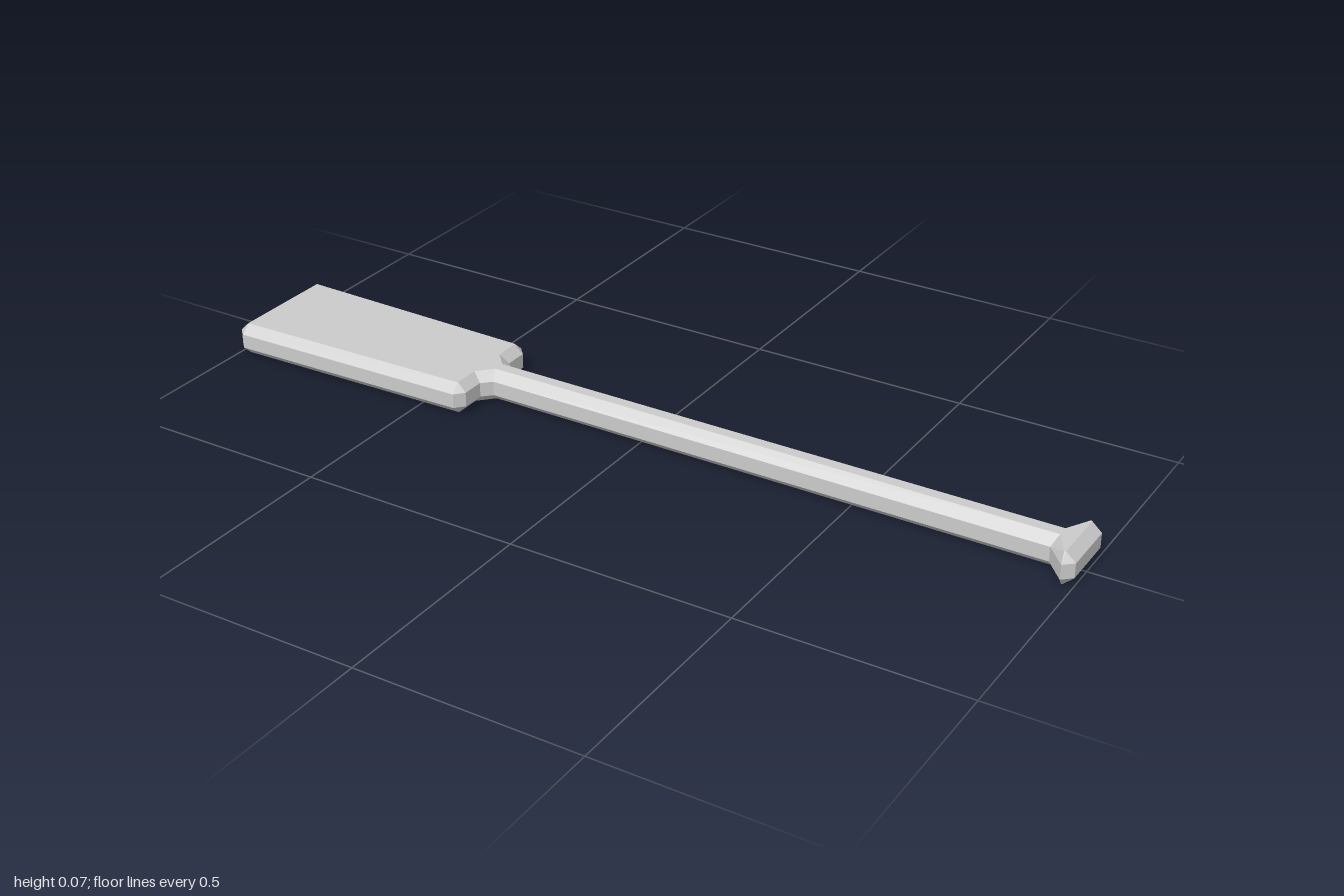
import * as THREE from 'three';

// Half outline of the paddle, from blade tip to handle end:
// [rim x, rim z, flat face x, flat face z]
const HALF = [
  [-1, 0.124, -0.98, 0.122],
  [-0.98, 0.144, -0.979, 0.123],
  [-0.405, 0.13, -0.407, 0.109],
  [-0.386, 0.109, -0.406, 0.108],
  [-0.386, 0.056, -0.406, 0.047],
  [-0.365, 0.035, -0.374, 0.013],
  [0.935, 0.035, 0.944, 0.013],
  [0.978, 0.085, 0.975, 0.067],
  [1, 0.065, 0.978, 0.065],
];

const HEIGHT = 0.073;
const BEVEL = 0.02;

// Bevelled slab: four stacked rings closed by two flat faces
function bevelledSlab(half) {
  const outline = [...half, ...half.map(([a, b, c, d]) => [a, -b, c, -d]).reverse()];
  const n = outline.length;
  const rim = (y) => outline.map(([x, z]) => [x, y, z]);
  const face = (y) => outline.map(([, , x, z]) => [x, y, z]);
  const rings = [face(0), rim(BEVEL), rim(HEIGHT - BEVEL), face(HEIGHT)];
  const index = [];

  // Sides and bevels
  for (let r = 0; r < 3; r++) {
    for (let i = 0; i < n; i++) {
      const j = (i + 1) % n;
      const a = r * n + i, b = r * n + j;
      index.push(a, b, b + n, a, b + n, a + n);
    }
  }

  // Top and bottom faces, wound by the sign of each triangle
  const flat = outline.map(([, , x, z]) => new THREE.Vector2(x, z));
  for (const [a, b, c] of THREE.ShapeUtils.triangulateShape(flat, [])) {
    const area = THREE.ShapeUtils.area([flat[a], flat[b], flat[c]]);
    const [p, q] = area > 0 ? [b, c] : [c, b];
    index.push(a, p, q, 3 * n + a, 3 * n + q, 3 * n + p);
  }

  const geometry = new THREE.BufferGeometry();
  geometry.setAttribute('position', new THREE.Float32BufferAttribute(rings.flat(2), 3));
  geometry.setIndex(index);
  const faceted = geometry.toNonIndexed();
  faceted.computeVertexNormals();
  return faceted;
}

export function createModel() {
  const group = new THREE.Group();
  group.name = 'paddle';
  const material = new THREE.MeshStandardMaterial({ color: 0xcccccc, flatShading: true });

  // Blade, shaft and flared grip are one continuous piece
  const body = new THREE.Mesh(bevelledSlab(HALF), material);
  body.name = 'bladeShaftAndGrip';
  group.add(body);
  return group;
}
